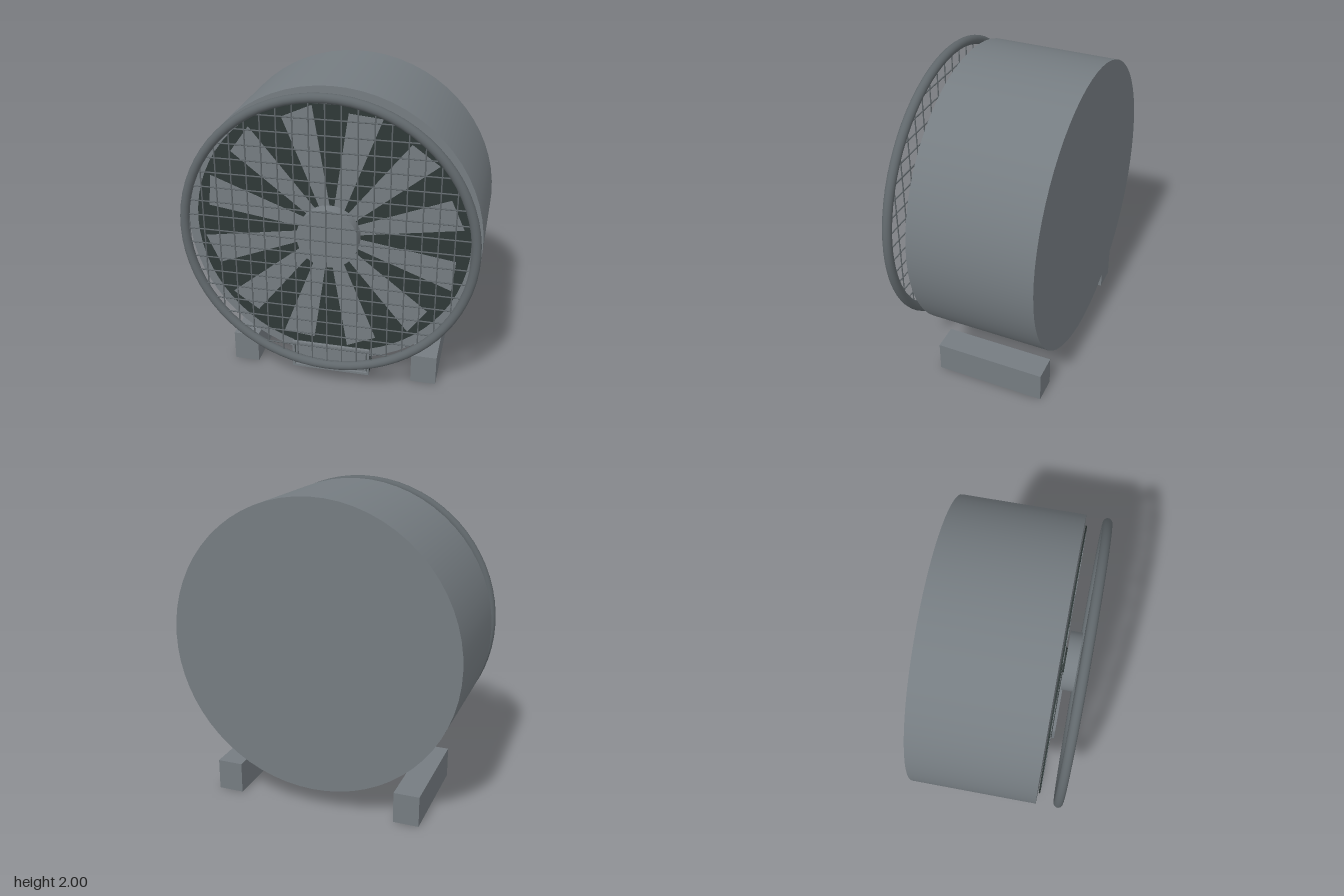
import * as THREE from 'three';

const CY = 1.0725; // height of the fan axis

export function createModel() {
  const model = new THREE.Group();
  model.name = 'drumFan';

  const grey = new THREE.MeshStandardMaterial({ color: 0x757c81 });
  grey.name = 'steel grey';
  const dark = new THREE.MeshStandardMaterial({ color: 0x2f3837 });
  dark.name = 'dark green black';
  const guardGrey = new THREE.MeshStandardMaterial({ color: 0x60676b });
  guardGrey.name = 'guard grey';

  const add = (name, geo, mat, x = 0, y = 0, z = 0, parent = model) => {
    const mesh = new THREE.Mesh(geo, mat);
    mesh.name = name;
    mesh.position.set(x, y, z);
    parent.add(mesh);
    return mesh;
  };
  const box = (name, mat, x0, x1, y0, y1, z0, z1, parent) =>
    add(name, new THREE.BoxGeometry(x1 - x0, y1 - y0, z1 - z0), mat,
      (x0 + x1) / 2, (y0 + y1) / 2, (z0 + z1) / 2, parent);
  // Round part lying along z
  const disc = (name, mat, r, z0, z1) =>
    add(name, new THREE.CylinderGeometry(r, r, z1 - z0, 64).rotateX(Math.PI / 2),
      mat, 0, CY, (z0 + z1) / 2);

  // Housing drum, dark face plate and hub
  disc('drum', grey, 0.9275, -0.478, 0.312);
  disc('facePlate', dark, 0.86, 0.319, 0.328);
  disc('hub', grey, 0.192, 0.342, 0.42);
  disc('hubShaft', dark, 0.08, 0.328, 0.342);

  // Twelve flat, skewed blades
  const blades = new THREE.Group();
  blades.name = 'blades';
  blades.position.set(0, CY, 0.328);
  model.add(blades);
  const bladeShape = new THREE.Shape([
    [0.025, 0.18], [0.09, 0.165], [0.315, 0.757], [0.112, 0.777],
  ].map(([x, y]) => new THREE.Vector2(x, y)));
  const bladeGeo = new THREE.ExtrudeGeometry(bladeShape, { depth: 0.003, bevelEnabled: false });
  for (let i = 0; i < 12; i++) {
    add('blade', bladeGeo, grey, 0, 0, 0, blades).rotation.z = i * Math.PI / 6;
  }

  // Guard: outer ring with a square wire mesh cut to the circle
  const guard = new THREE.Group();
  guard.name = 'guard';
  guard.position.set(0, CY, 0.449);
  model.add(guard);
  const R = 0.8985;
  add('guardRing', new THREE.TorusGeometry(R, 0.029, 16, 72), guardGrey, 0, 0, 0, guard);
  for (let i = -9; i <= 9; i++) {
    const p = i * 0.0965;
    const len = 2 * Math.sqrt(R * R - p * p);
    const geo = new THREE.CylinderGeometry(0.0045, 0.0045, len, 6);
    add('verticalWire', geo, guardGrey, p, 0, 0, guard);
    add('horizontalWire', geo, guardGrey, 0, p, 0, guard).rotation.z = Math.PI / 2;
  }

  // Control box below the guard: dark body, grey frame and inset panel
  const control = new THREE.Group();
  control.name = 'controlBox';
  model.add(control);
  box('controlBody', dark, -0.255, 0.255, 0.06, 0.247, 0.22, 0.335, control);
  for (const s of [-1, 1]) {
    box('frameSide', grey, s * 0.2505 - 0.0075, s * 0.2505 + 0.0075, 0.058, 0.25, 0.335, 0.355, control);
  }
  box('frameBottom', grey, -0.243, 0.243, 0.058, 0.073, 0.335, 0.355, control);
  box('frameTop', grey, -0.243, 0.243, 0.235, 0.25, 0.335, 0.355, control);
  box('controlPanel', grey, -0.236, 0.236, 0.08, 0.228, 0.335, 0.35, control);

  // Feet
  for (const s of [-1, 1]) {
    box('foot', grey, s * 0.607 - 0.083, s * 0.607 + 0.083, 0, 0.203, -0.438, 0.275);
  }

  return model;
}
